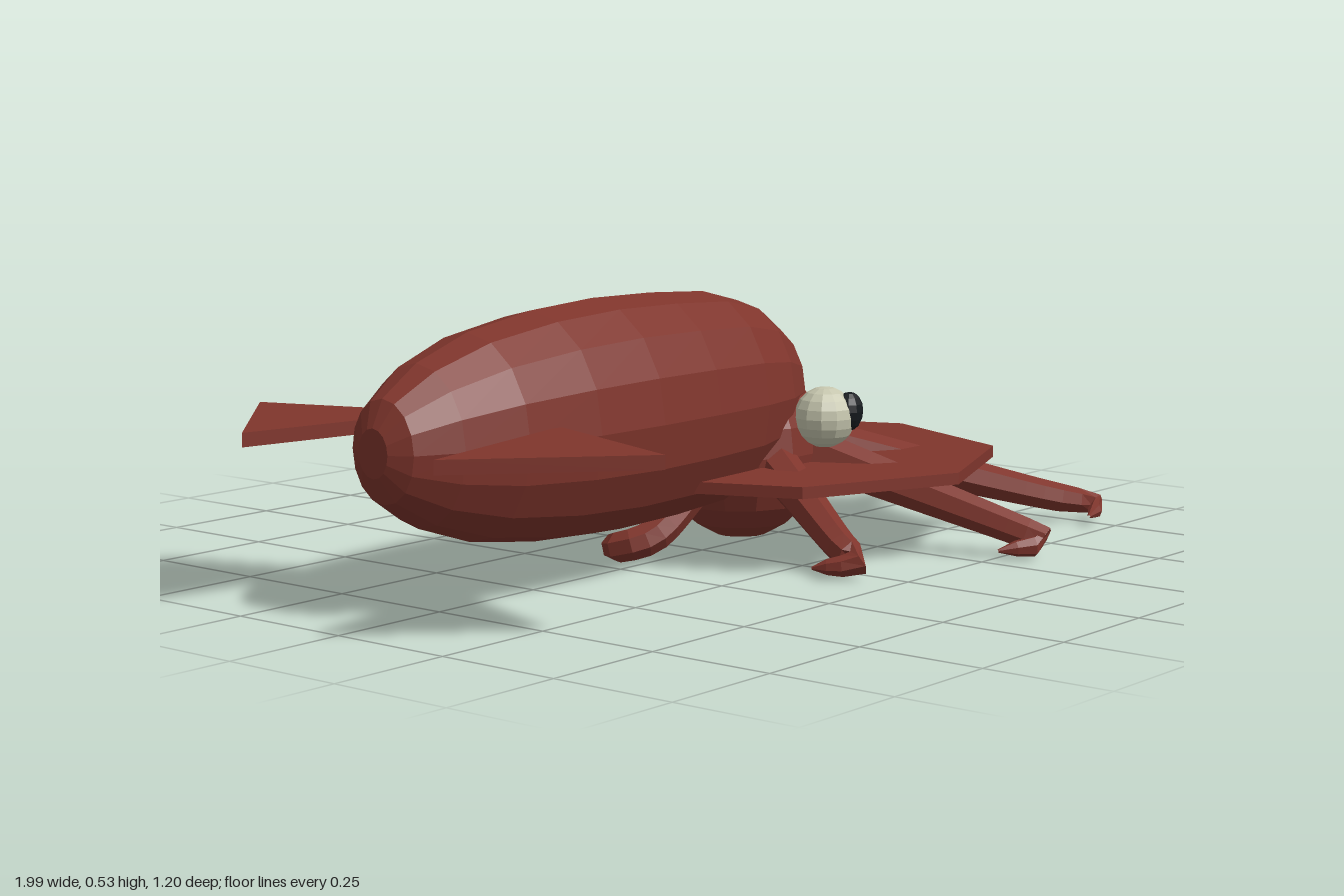
import * as THREE from 'three';

const mat = (color) => new THREE.MeshStandardMaterial({ color, flatShading: true });
const skin = mat(0x7f352c), eyeWhite = mat(0xc6c6ae), black = mat(0x15191d);

function add(parent, name, geometry, material, x = 0, y = 0, z = 0) {
  const mesh = new THREE.Mesh(geometry, material);
  mesh.name = name;
  mesh.position.set(x, y, z);
  parent.add(mesh);
  return mesh;
}

// Tube along a curve, its rings shrunk by a radius rule
function taperedTube(points, radiusAt, rings = 18, sides = 7) {
  const curve = new THREE.CatmullRomCurve3(points);
  const geo = new THREE.TubeGeometry(curve, rings, 1, sides);
  const pos = geo.attributes.position, v = new THREE.Vector3();
  for (let i = 0; i <= rings; i++) {
    const c = curve.getPointAt(i / rings), r = radiusAt(i / rings);
    for (let j = 0; j <= sides; j++) {
      const k = i * (sides + 1) + j;
      v.fromBufferAttribute(pos, k).sub(c).multiplyScalar(r).add(c);
      pos.setXYZ(k, v.x, v.y, v.z);
    }
  }
  geo.computeVertexNormals();
  return geo;
}

export function createModel() {
  const model = new THREE.Group();
  model.name = 'cephalopod';

  // Mantle: long lathe lying along x, taller than wide
  const profile = [[-0.58, 0], [-0.58, 0.2], [-0.555, 0.42], [-0.47, 0.66], [-0.34, 0.85], [-0.17, 0.96], [0, 1],
    [0.17, 0.985], [0.33, 0.94], [0.44, 0.82], [0.53, 0.58], [0.58, 0.3], [0.59, 0]];
  const mantle = new THREE.LatheGeometry(profile.map(([x, r]) => new THREE.Vector2(r, x)), 16);
  mantle.rotateZ(-Math.PI / 2).scale(1, 0.225, 0.18);
  add(model, 'mantle', mantle, skin, -0.33, 0.305, 0);

  // Head
  add(model, 'head', new THREE.SphereGeometry(1, 14, 10).scale(0.17, 0.183, 0.165), skin, 0.125, 0.19, 0);

  // Eight-sided web between the arms
  const web = new THREE.CylinderGeometry(0.46, 0.46, 0.023, 8);
  add(model, 'web', web, skin, 0.225, 0.162, 0);

  for (const s of [1, -1]) {
    const side = s > 0 ? 'right' : 'left';
    // Triangular tail fin
    const shape = new THREE.Shape([[-0.59, 0.15], [-0.715, 0.5], [-1, 0.235]].map(([x, z]) => new THREE.Vector2(x, -s * z)));
    const fin = new THREE.ExtrudeGeometry(shape, { depth: 0.026, bevelEnabled: false }).rotateX(-Math.PI / 2);
    add(model, s > 0 ? 'finFront' : 'finBack', fin, skin, 0, 0.304, 0);

    // Eye with bulging pupil
    const eye = new THREE.Group();
    eye.name = side + 'Eye';
    add(eye, 'eyeball', new THREE.SphereGeometry(0.061, 12, 10), eyeWhite, 0.16, 0.265, s * 0.183);
    add(eye, 'pupil', new THREE.SphereGeometry(1, 10, 8).scale(0.031, 0.039, 0.027), black, 0.186, 0.277, s * 0.224);
    model.add(eye);
  }

  // Arms as [knee, bend, tip] in x and z; each curls the same way round
  const arms = [
    [[0.91, -0.005], [0.968, 0.045], [0.97, 0.13]],
    [[0.72, 0.375], [0.79, 0.43], [0.71, 0.46]],
    [[0.345, 0.53], [0.365, 0.575], [0.275, 0.52]],
    [[-0.03, 0.37], [-0.04, 0.41], [-0.09, 0.34]],
    [[-0.16, 0], [-0.2, -0.04], [-0.14, -0.13]],
    [[-0.03, -0.37], [-0.01, -0.425], [0.125, -0.463]],
    [[0.325, -0.53], [0.4, -0.592], [0.56, -0.525]],
    [[0.73, -0.38], [0.83, -0.405], [0.91, -0.28]],
  ];
  const radius = (t) => (t === 1 ? 0.003 : 0.05 - 0.02 * Math.min(t / 0.8, 1) - 0.02 * Math.max(0, (t - 0.8) / 0.2));
  arms.forEach(([knee, bend, tip], i) => {
    const a = i * Math.PI / 4;
    const start = new THREE.Vector3(0.16 + 0.07 * Math.cos(a), 0.21, 0.07 * Math.sin(a));
    const kneePoint = new THREE.Vector3(knee[0], 0.048, knee[1]);
    const points = [start, start.clone().lerp(kneePoint, 0.5), kneePoint,
      new THREE.Vector3(bend[0], 0.03, bend[1]), new THREE.Vector3(tip[0], 0.018, tip[1])];
    add(model, 'arm' + (i + 1), taperedTube(points, radius), skin);
  });

  return model;
}
